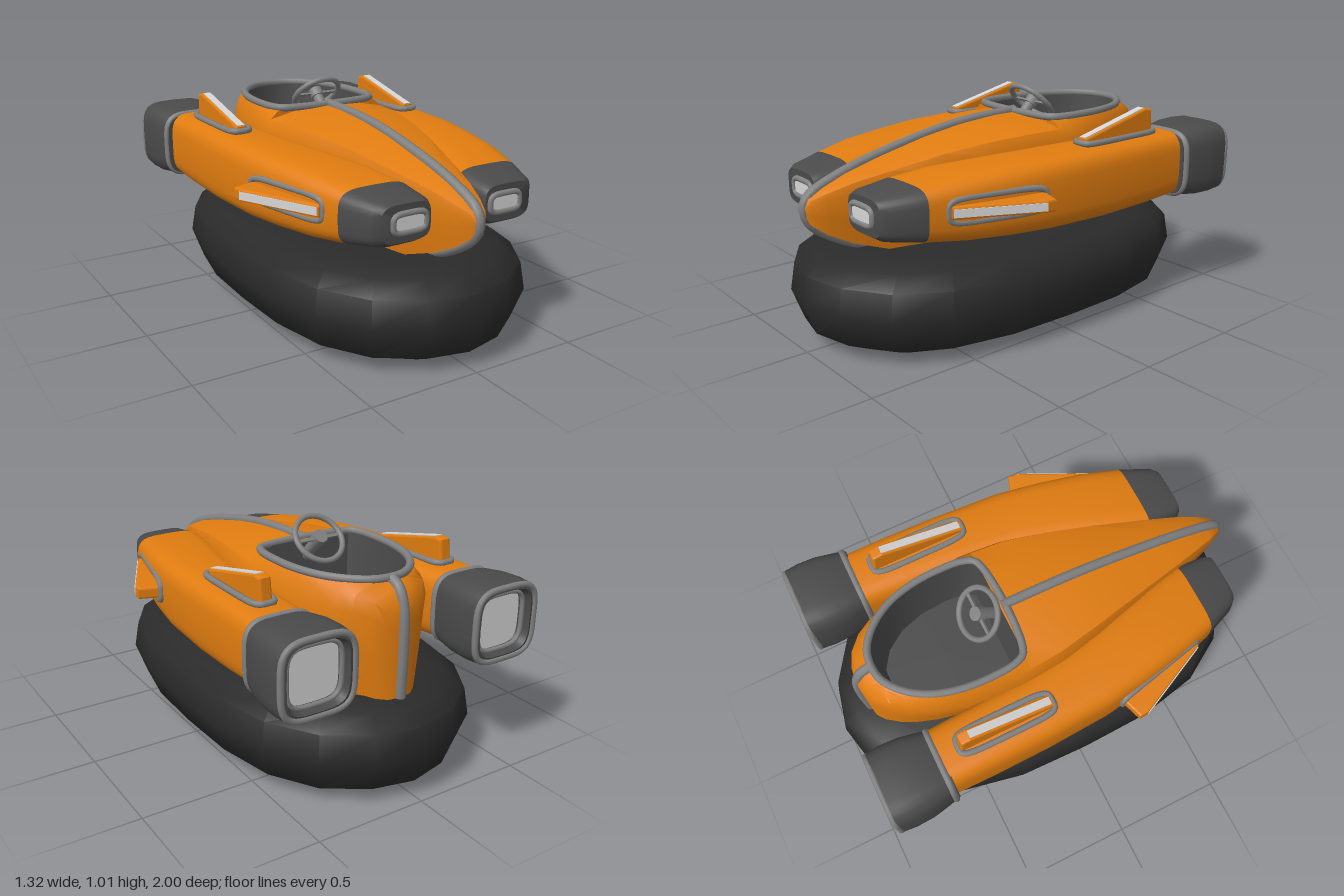
import * as THREE from 'three';
import { toCreasedNormals } from 'three/addons/utils/BufferGeometryUtils.js';

const mat = (name, color, extra = {}) => {
  const m = new THREE.MeshStandardMaterial({ color, ...extra });
  m.name = name;
  return m;
};

export function createModel() {
  const orange = mat('orange paint', 0xe07c10);
  const dark = mat('dark grey', 0x4a4a4a);
  const rubber = mat('black rubber', 0x2a2a2a);
  const trim = mat('grey trim', 0x808080);
  const light = mat('light grey', 0xd6d6d6);

  const model = new THREE.Group();
  model.name = 'hovercraft';

  const add = (parent, name, geometry, material) => {
    const mesh = new THREE.Mesh(geometry, material);
    mesh.name = name;
    parent.add(mesh);
    return mesh;
  };

  // Skin over a list of rings, each a list of [x, y, z]
  const loft = (rings, closed = true, crease = 0.8) => {
    const n = rings[0].length;
    const index = [];
    for (let i = 0; i < rings.length - 1; i++) {
      for (let j = 0; j < (closed ? n : n - 1); j++) {
        const k = (j + 1) % n;
        const a = i * n + j, b = i * n + k, c = a + n, d = b + n;
        index.push(a, c, b, b, c, d);
      }
    }
    const g = new THREE.BufferGeometry();
    g.setAttribute('position', new THREE.Float32BufferAttribute(rings.flat(2), 3));
    g.setIndex(index);
    return toCreasedNormals(g, crease);
  };

  // Rounded rectangle ring facing along z
  const SEG = 32;
  const roundRing = (cx, cy, hw, hh, z, power = 4) =>
    Array.from({ length: SEG }, (_, i) => {
      const t = (i / SEG) * Math.PI * 2;
      const p = (v) => Math.sign(v) * Math.abs(v) ** (2 / power);
      return [cx + hw * p(Math.cos(t)), cy + hh * p(Math.sin(t)), z];
    });
  const vectors = (pts) => pts.map((p) => new THREE.Vector3(...p));
  const tube = (pts, r, closed, steps = 64) =>
    new THREE.TubeGeometry(new THREE.CatmullRomCurve3(vectors(pts), closed), steps, r, 8, closed);
  const panel = (ring) =>
    new THREE.ShapeGeometry(new THREE.Shape(ring.map(([x, y]) => new THREE.Vector2(x, y))));

  // Inflated skirt: one outline, inset at each height
  const quarter = [[0.59, 0], [0.58, 0.33], [0.52, 0.62], [0.39, 0.83], [0.2, 0.955], [0, 1]];
  const half = [...quarter, ...quarter.slice(0, -1).reverse().map(([x, z]) => [-x, z])];
  const outline = [...half, ...half.slice(1, -1).reverse().map(([x, z]) => [x, -z])];
  const skirtLevels = [[0, 1], [0, 0.18], [0.07, 0.05], [0.21, 0], [0.33, 0.02], [0.385, 0.09], [0.41, 0.2], [0.41, 1]];
  add(model, 'skirt', loft(skirtLevels.map(([y, inset]) =>
    outline.map(([x, z]) => [x * Math.max(0, 1 - inset / 0.59) * (inset === 1 ? 0 : 1), y, z * (1 - inset)]))), rubber);

  // Central hull sections: z, top, bottom, half width, cockpit half width
  const sections = [
    [0.985, 0.63, 0.61, 0.015, 0], [0.965, 0.67, 0.56, 0.04, 0], [0.9, 0.705, 0.51, 0.07, 0],
    [0.8, 0.745, 0.46, 0.105, 0], [0.65, 0.785, 0.41, 0.15, 0], [0.4, 0.84, 0.4, 0.22, 0],
    [0.2, 0.87, 0.4, 0.275, 0], [0, 0.885, 0.4, 0.32, 0], [-0.15, 0.885, 0.4, 0.333, 0],
    [-0.15, 0.885, 0.4, 0.333, 0.23], [-0.2, 0.885, 0.4, 0.335, 0.26], [-0.3, 0.885, 0.4, 0.33, 0.27],
    [-0.45, 0.885, 0.4, 0.31, 0.26], [-0.58, 0.885, 0.4, 0.275, 0.22], [-0.68, 0.885, 0.4, 0.23, 0.15],
    [-0.74, 0.885, 0.4, 0.19, 0.06], [-0.745, 0.885, 0.4, 0.185, 0], [-0.8, 0.86, 0.4, 0.13, 0],
    [-0.83, 0.81, 0.4, 0.075, 0], [-0.84, 0.78, 0.4, 0, 0],
  ];
  const hullRings = sections.map(([z, top, bottom, w, c]) => {
    const h = top - bottom;
    return [
      [0.75 * w, bottom, z], [0.9 * w, top - 0.6 * h, z], [w, top - 0.22 * h, z],
      [0.9 * w, top - 0.09 * h, z], [(c + 0.9 * w) / 2, top - 0.025 * h, z], [c, top, z],
    ];
  });
  add(model, 'hullLeft', loft(hullRings, false), orange);
  add(model, 'hullRight', loft(hullRings.map((r) => r.map(([x, y, z]) => [-x, y, z]).reverse()), false), orange);

  // Cockpit tub and rim
  const side = sections.filter((s) => s[4] > 0).map((s) => [s[4], s[0]]);
  const opening = [...side, ...side.map(([x, z]) => [-x, z]).reverse()];
  const tubRing = (y, s) => opening.map(([x, z]) => [x * s, y, -0.43 + (z + 0.43) * s]);
  add(model, 'cockpitTub', loft([tubRing(0.6, 0), tubRing(0.6, 0.88), tubRing(0.885, 1)]), dark);
  add(model, 'cockpitRim', tube(tubRing(0.888, 1), 0.017, true, 96), trim);

  // Keel strips over the nose and down the stern
  add(model, 'frontSpine', tube([[0, 0.4, 0.66], [0, 0.455, 0.8], [0, 0.555, 0.95], [0, 0.62, 0.975],
    [0, 0.67, 0.955], [0, 0.742, 0.8], [0, 0.82, 0.5], [0, 0.87, 0.2], [0, 0.888, -0.14]], 0.023, false), trim);
  add(model, 'rearSpine', tube([[0, 0.885, -0.75], [0, 0.855, -0.8], [0, 0.78, -0.83],
    [0, 0.6, -0.84], [0, 0.4, -0.835]], 0.023, false, 32), trim);

  // Steering wheel on its column
  const wheel = new THREE.Group();
  wheel.name = 'steeringWheel';
  wheel.position.set(0, 0.915, -0.25);
  wheel.rotation.x = Math.PI / 4;
  add(wheel, 'wheelRim', new THREE.TorusGeometry(0.112, 0.013, 8, 32), trim);
  add(wheel, 'wheelHub', new THREE.CylinderGeometry(0.032, 0.032, 0.04, 16).rotateX(Math.PI / 2), trim);
  add(wheel, 'wheelSpokes', new THREE.BoxGeometry(0.22, 0.014, 0.01), trim);
  add(wheel, 'wheelColumn', new THREE.CylinderGeometry(0.025, 0.025, 0.17, 12).rotateX(Math.PI / 2), trim)
    .position.z = 0.085;
  model.add(wheel);

  // Swept fin with a mounting ring and a light leading edge
  const finShape = new THREE.Shape([[0.205, 0], [0.205, 0.012], [-0.165, 0.097], [-0.198, 0.092], [-0.208, 0]]
    .map((p) => new THREE.Vector2(...p)));
  const makeFin = (name) => {
    const fin = new THREE.Group();
    fin.name = name;
    const blade = new THREE.ExtrudeGeometry(finShape, {
      depth: 0.036, bevelThickness: 0.009, bevelSize: 0.009, bevelSegments: 2,
    }).translate(0, 0, -0.018).rotateY(-Math.PI / 2);
    add(fin, 'finBlade', blade, orange);
    const edge = add(fin, 'finLeadingEdge', new THREE.BoxGeometry(0.034, 0.008, 0.38), light);
    edge.position.set(0, 0.063, 0.022);
    edge.rotation.x = 0.226;
    add(fin, 'finMount', tube(roundRing(0, 0, 0.052, 0.22, 0, 5), 0.014, true).rotateX(Math.PI / 2), trim);
    return fin;
  };

  // Side pod, nozzle, headlight and fins
  const pod = new THREE.Group();
  pod.name = 'leftPod';
  const podRing = ([z, inner, outer, low, high]) =>
    roundRing((inner + outer) / 2, (low + high) / 2, (outer - inner) / 2, (high - low) / 2, z);
  const capSections = [
    [0.85, 0.25, 0.25, 0.635, 0.635], [0.85, 0.135, 0.365, 0.555, 0.71],
    [0.82, 0.12, 0.395, 0.538, 0.722], [0.68, 0.115, 0.45, 0.515, 0.745],
  ];
  const bodySections = [
    capSections[3], [0.5, 0.15, 0.5, 0.495, 0.772], [0.3, 0.2, 0.54, 0.485, 0.785],
    [0.1, 0.25, 0.57, 0.48, 0.795], [-0.2, 0.29, 0.585, 0.48, 0.8], [-0.45, 0.305, 0.59, 0.49, 0.805],
    [-0.66, 0.315, 0.59, 0.505, 0.803],
  ];
  add(pod, 'podNose', loft(capSections.map(podRing)), dark);
  add(pod, 'podBody', loft(bodySections.map(podRing)), orange);

  const lampRing = (hw, hh, z) => roundRing(0.235, 0.633, hw, hh, z);
  add(pod, 'headlightRim', tube(lampRing(0.076, 0.038, 0.85), 0.013, true), trim);
  add(pod, 'headlight', panel(lampRing(0.07, 0.033, 0)), light).position.z = 0.854;

  const nozzleRing = (z, hw, hh = hw) => roundRing(0.463, 0.65, hw, hh, z);
  add(pod, 'nozzle', loft([
    nozzleRing(-0.64, 0), nozzleRing(-0.64, 0.146), nozzleRing(-0.7, 0.16), nozzleRing(-0.78, 0.175, 0.17),
    nozzleRing(-0.86, 0.178, 0.172), nozzleRing(-0.925, 0.172, 0.168), nozzleRing(-0.932, 0.14), nozzleRing(-0.87, 0.115),
  ]), dark);
  add(pod, 'nozzleCollar', tube(nozzleRing(-0.66, 0.146), 0.016, true), trim);
  add(pod, 'nozzleRim', tube(nozzleRing(-0.926, 0.162, 0.157), 0.014, true), trim);
  add(pod, 'nozzleInnerRim', tube(nozzleRing(-0.9, 0.122), 0.01, true), trim);
  // Glow panel faces backwards
  add(pod, 'nozzlePanel', panel(roundRing(0, 0, 0.124, 0.124, 0)).rotateY(Math.PI), light)
    .position.set(0.463, 0.65, -0.882);

  const topFin = makeFin('topFin');
  topFin.position.set(0.455, 0.812, -0.345);
  const sideFin = makeFin('sideFin');
  sideFin.position.set(0.515, 0.645, 0.385);
  sideFin.rotation.set(0, -0.224, -Math.PI / 2);
  pod.add(topFin, sideFin);

  const mirrored = pod.clone();
  mirrored.name = 'rightPod';
  mirrored.scale.x = -1;
  model.add(pod, mirrored);

  return model;
}
